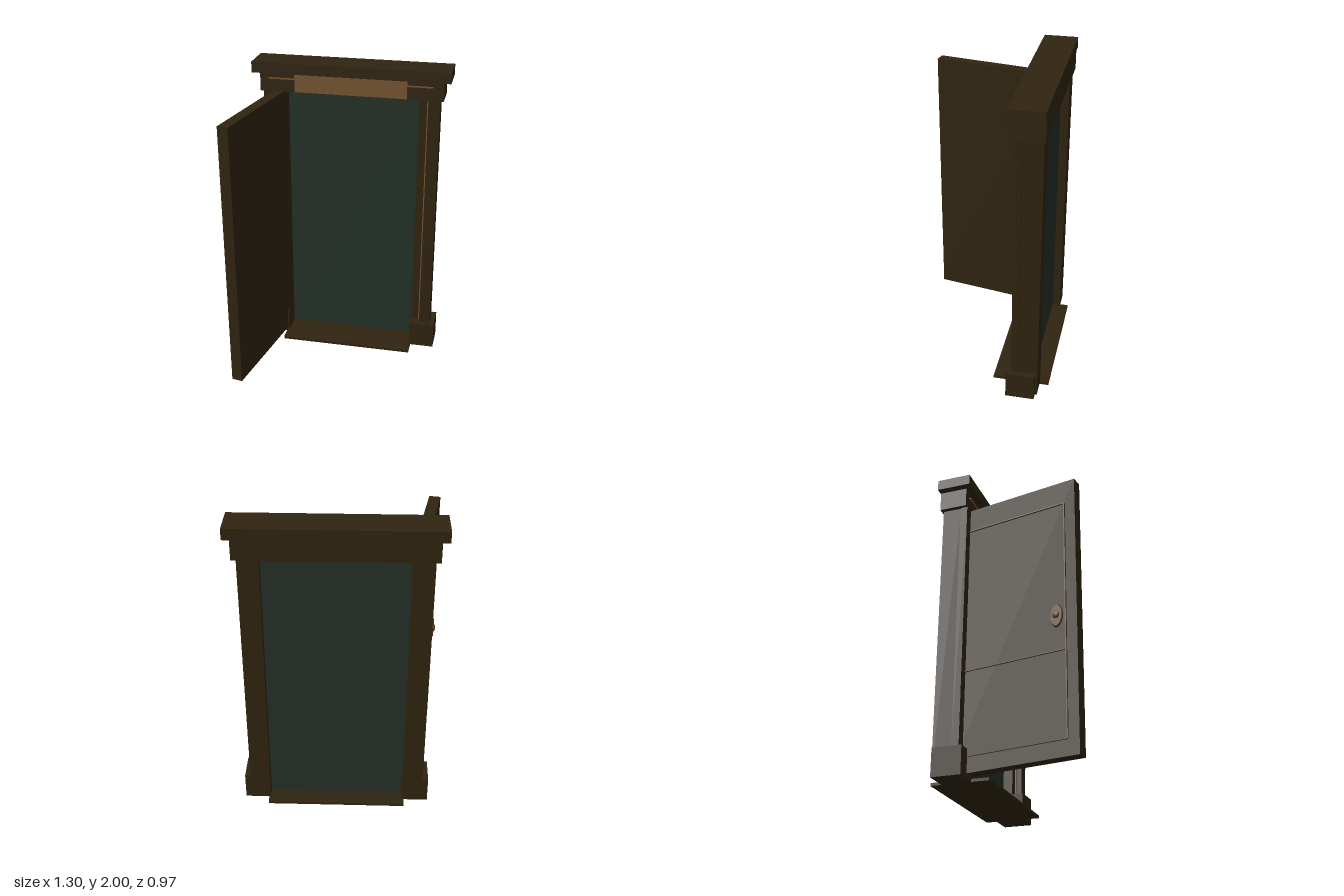
import * as THREE from 'three';

const mat = (name, color) => {
  const m = new THREE.MeshStandardMaterial({ color });
  m.name = name;
  return m;
};

export function createModel() {
  const wood = mat('dark wood', 0x302410);
  const glass = mat('dark green panel', 0x243128);
  const tan = mat('tan wood', 0x755431);
  const brass = mat('aged brass', 0x59401f);

  const root = new THREE.Group();
  root.name = 'openDoorway';

  // Box given by its min and max extents
  const box = (parent, name, m, x0, x1, y0, y1, z0, z1) => {
    const mesh = new THREE.Mesh(new THREE.BoxGeometry(x1 - x0, y1 - y0, z1 - z0), m);
    mesh.position.set((x0 + x1) / 2, (y0 + y1) / 2, (z0 + z1) / 2);
    mesh.name = name;
    parent.add(mesh);
    return mesh;
  };

  // Frame, centred slightly right of the origin
  const frame = new THREE.Group();
  frame.name = 'doorFrame';
  frame.position.x = 0.009;
  root.add(frame);

  box(frame, 'cornice', wood, -0.643, 0.643, 1.93, 2, -0.45, -0.23);
  box(frame, 'lintel', wood, -0.598, 0.598, 1.802, 1.93, -0.447, -0.268);
  box(frame, 'threshold', wood, -0.45, 0.45, 0, 0.018, -0.49, -0.125);
  box(frame, 'greenPanel', glass, -0.445, 0.445, 0.018, 1.803, -0.38, -0.372);
  box(frame, 'headerPlate', tan, -0.366, 0.366, 1.808, 1.922, -0.26, -0.252);
  box(frame, 'headerBead', tan, -0.54, 0.53, 1.886, 1.894, -0.268, -0.26);

  for (const s of [-1, 1]) {
    const side = s < 0 ? 'right' : 'left';
    const sideBox = (name, m, x0, x1, ...rest) =>
      box(frame, side + name, m, s < 0 ? -x1 : x0, s < 0 ? -x0 : x1, ...rest);
    sideBox('Jamb', wood, 0.44, 0.57, 0.01, 1.803, -0.434, -0.31);
    sideBox('Pilaster', wood, 0.502, 0.577, 0.17, 1.803, -0.312, -0.266);
    sideBox('Bead', tan, 0.491, 0.498, 0.175, 1.83, -0.31, -0.302);
    sideBox('Plinth', wood, 0.438, 0.608, 0, 0.176, -0.42, -0.235);
  }

  // Open door leaf: local +z runs from hinge to free edge, -x is the outer face
  const door = new THREE.Group();
  door.name = 'door';
  door.position.set(-0.42, 0, -0.345);
  door.rotation.y = -0.1755;
  root.add(door);
  const W = 0.842, T = 0.072;
  box(door, 'doorLeaf', wood, -T, 0, 0.03, 1.805, 0, W);

  // Thin moulding around the two outer panels
  const strip = (y0, y1, z0, z1) =>
    box(door, 'doorMoulding', brass, -T - 0.01, -T, y0, y1, z0, z1);
  const za = 0.065, zb = W - 0.07;
  for (const y of [0.13, 0.665, 1.645]) strip(y - 0.004, y + 0.004, za, zb);
  for (const z of [za, zb]) strip(0.13, 1.645, z - 0.004, z + 0.004);

  // Oval handle plate with a knob
  const handle = new THREE.Group();
  handle.name = 'doorHandle';
  handle.position.set(-T, 0.885, W - 0.125);
  handle.rotation.z = Math.PI / 2;
  door.add(handle);
  const plate = new THREE.Mesh(new THREE.CylinderGeometry(0.036, 0.04, 0.01, 24), brass);
  plate.name = 'handlePlate';
  plate.scale.x = 1.9;
  plate.position.y = 0.015;
  const stem = new THREE.Mesh(new THREE.CylinderGeometry(0.01, 0.012, 0.026, 16), brass);
  stem.name = 'handleStem';
  stem.position.y = 0.013;
  const knob = new THREE.Mesh(new THREE.SphereGeometry(0.022, 20, 12), brass);
  knob.name = 'handleKnob';
  knob.scale.y = 0.4;
  knob.position.y = 0.024;
  handle.add(plate, stem, knob);

  return root;
}
